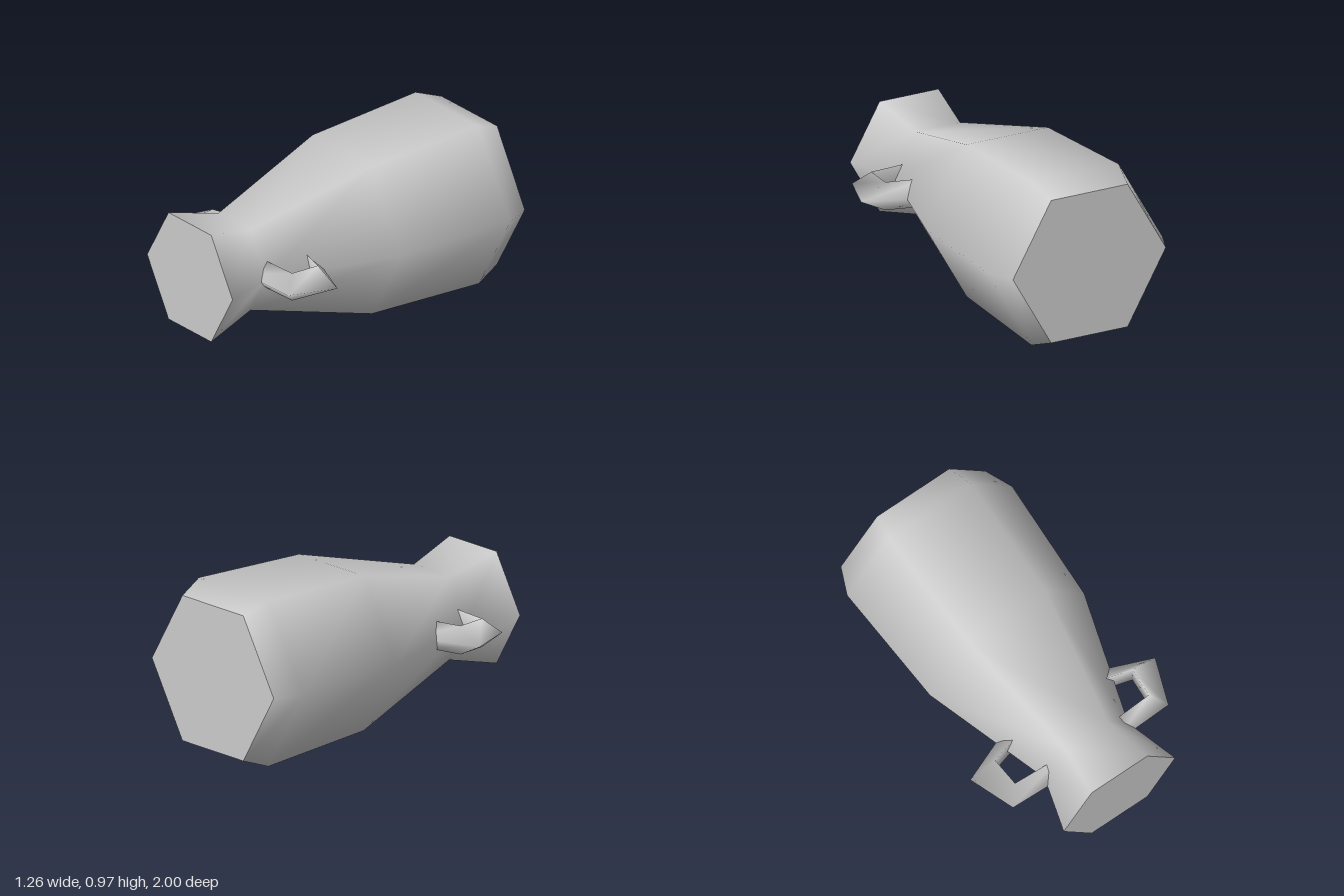
import * as THREE from 'three';

const CENTRE_X = -0.005;
const CENTRE_Y = 0.49;

// Half-height and z of the hexagonal rings, from the base (back) to the mouth (front)
const RINGS = [[0.427, -1], [0.487, -0.84], [0.455, -0.09], [0.247, 0.68], [0.329, 1]];
const cornerRadius = (halfHeight) => halfHeight / Math.cos(Math.PI / 6);

// Handle of triangular section: a ridge outside, a flat face inside
function handleGeometry() {
  const outer = [[0.25, 0.297], [0.63, 0.45], [0.53, 0.722], [0.16, 0.735]];
  const inner = [[0.24, 0.396], [0.467, 0.46], [0.455, 0.635], [0.16, 0.65]];
  const half = 0.084;
  const positions = [];
  const index = [];
  outer.forEach(([ox, oz], i) => {
    const [ix, iz] = inner[i];
    positions.push(ox, 0, oz, ix, half, iz, ix, -half, iz);
    if (i === 0) return;
    for (let k = 0; k < 3; k++) {
      const a = (i - 1) * 3 + k;
      const b = (i - 1) * 3 + (k + 1) % 3;
      index.push(a, b, a + 3, b, b + 3, a + 3);
    }
  });
  const geometry = new THREE.BufferGeometry();
  geometry.setAttribute('position', new THREE.Float32BufferAttribute(positions, 3));
  geometry.setIndex(index);
  geometry.computeVertexNormals();
  return geometry;
}

export function createModel() {
  const clay = new THREE.MeshStandardMaterial({ color: 0xcccccc });
  clay.name = 'pale grey';

  const model = new THREE.Group();
  model.name = 'vase';
  const add = (name, geometry) => {
    const mesh = new THREE.Mesh(geometry, clay);
    mesh.name = name;
    mesh.position.set(CENTRE_X, CENTRE_Y, 0);
    model.add(mesh);
    return mesh;
  };

  // Six-sided body lying along z, with corners at left and right
  const profile = RINGS.map(([h, z]) => new THREE.Vector2(cornerRadius(h), z));
  const body = new THREE.LatheGeometry(profile, 6, Math.PI / 2);
  body.rotateX(Math.PI / 2);
  add('body', body);

  // Flat ends
  add('mouth', new THREE.CircleGeometry(profile[4].x, 6)).position.z = 1;
  const base = add('base', new THREE.CircleGeometry(profile[0].x, 6));
  base.rotation.y = Math.PI;
  base.position.z = -1;

  // Handles on both sides of the neck
  const handle = handleGeometry();
  add('leftHandle', handle);
  add('rightHandle', handle).rotation.z = Math.PI;

  return model;
}
